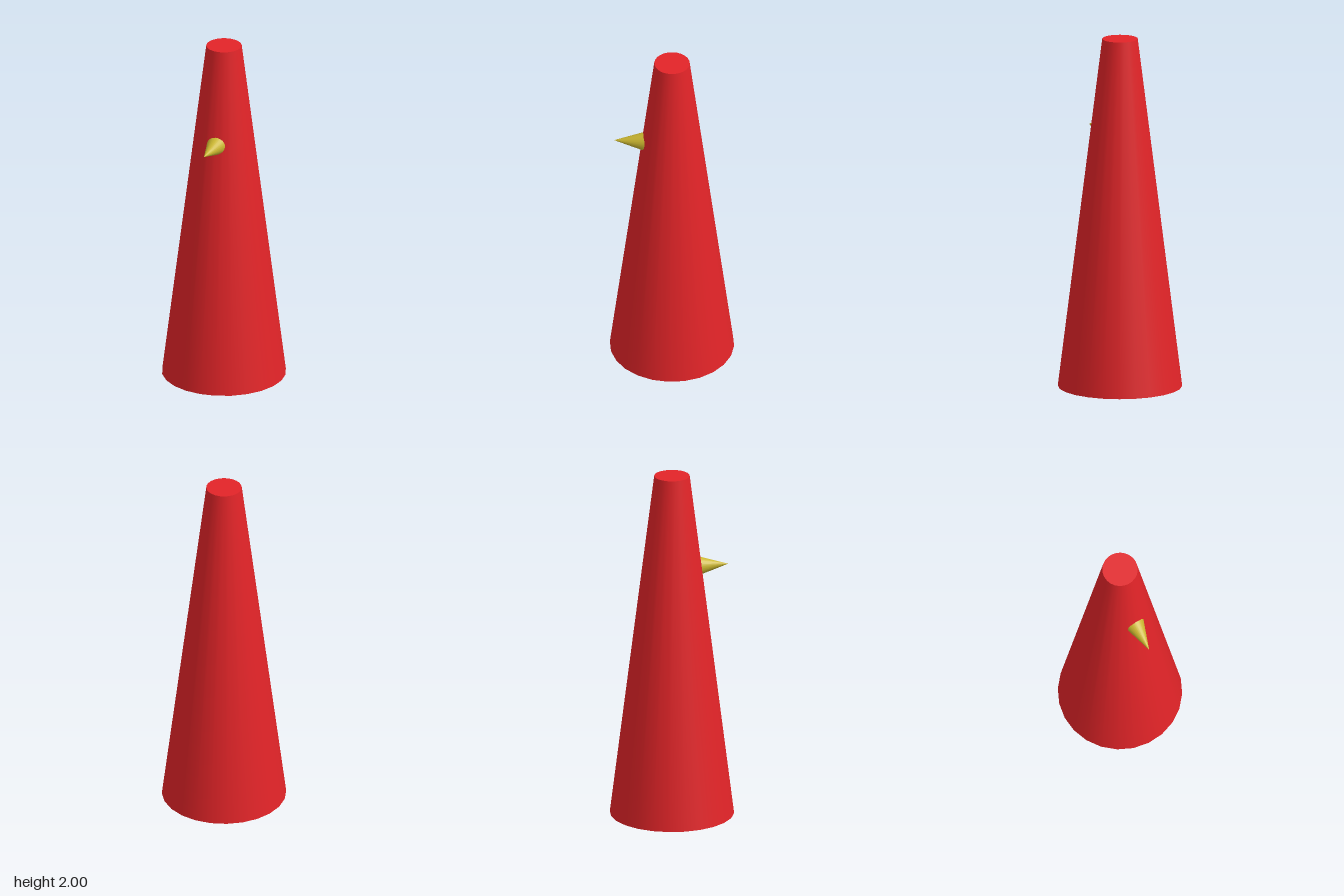
import * as THREE from 'three';

export function createModel() {
  const group = new THREE.Group();

  // Tall tapered body, closed at both ends
  const body = new THREE.Mesh(
    new THREE.CylinderGeometry(0.1, 0.35, 2, 24),
    new THREE.MeshStandardMaterial({ color: 0xe32428 })
  );
  body.name = 'body';
  body.position.y = 1;
  group.add(body);

  // Pointed nose, its base sunk into the front of the body
  const length = 0.2;
  const nose = new THREE.Mesh(
    new THREE.ConeGeometry(length * 0.315, length, 24).rotateX(Math.PI / 2),
    new THREE.MeshStandardMaterial({ color: 0xc9b52f })
  );
  nose.name = 'nose';
  nose.position.set(0.016, 1.448, 0.326 - length / 2);
  group.add(nose);

  return group;
}
